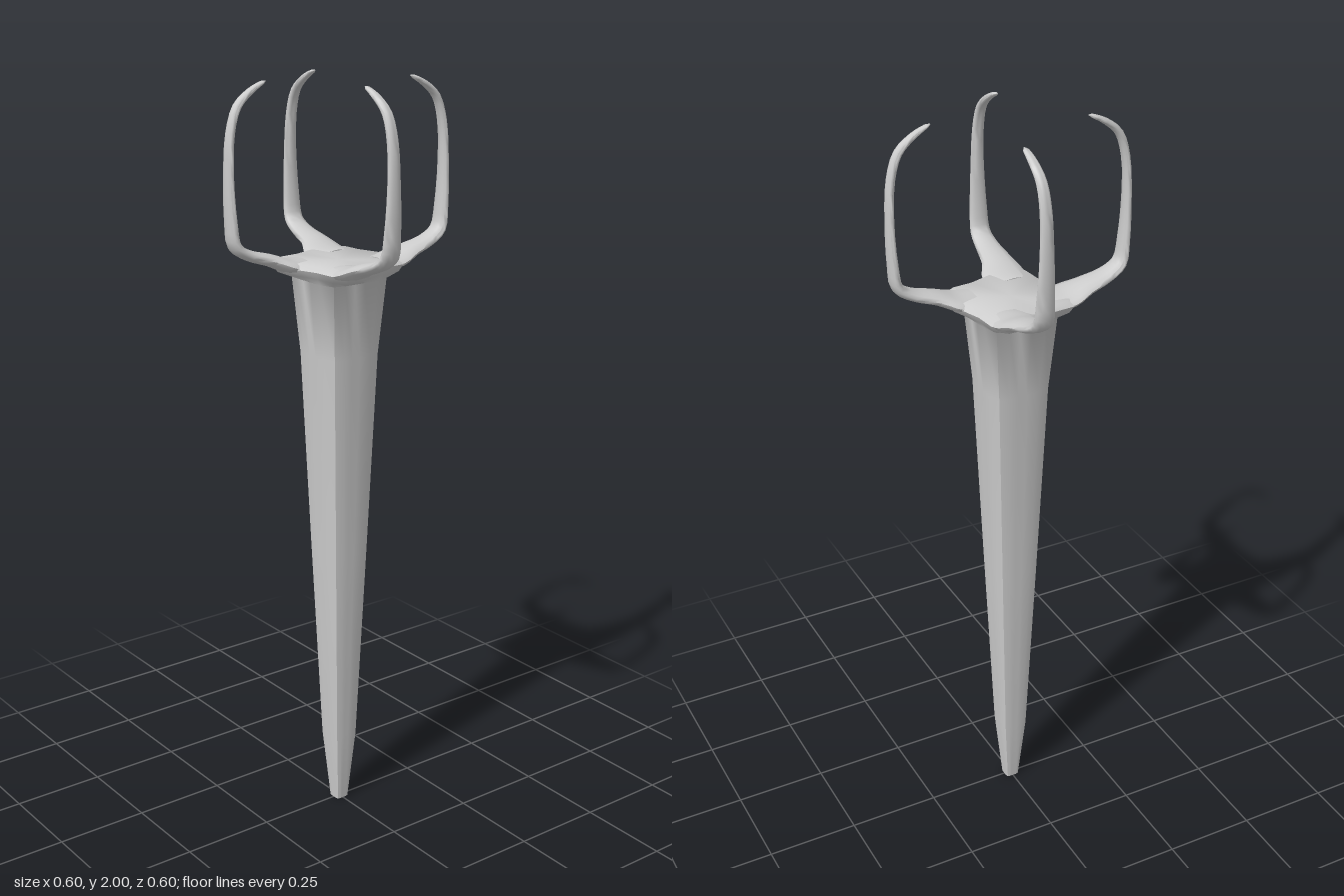
import * as THREE from 'three';
import { toCreasedNormals } from 'three/addons/utils/BufferGeometryUtils.js';

const material = new THREE.MeshStandardMaterial({ color: 0xcccccc });

// Skin a list of closed rings; a ring collapsed to one point acts as a cap
function loft(rings, crease) {
  const n = rings[0].length, pts = rings.flat(), index = [];
  const tri = (a, b, c) => {
    const [p, q, r] = [pts[a], pts[b], pts[c]];
    if (!p.equals(q) && !q.equals(r) && !r.equals(p)) index.push(a, b, c);
  };
  for (let j = 0; j < rings.length - 1; j++) {
    for (let i = 0; i < n; i++) {
      const a = j * n + i, b = j * n + (i + 1) % n;
      tri(a, a + n, b + n);
      tri(a, b + n, b);
    }
  }
  const geometry = new THREE.BufferGeometry().setFromPoints(pts);
  geometry.setIndex(index);
  geometry.computeVertexNormals();
  return toCreasedNormals(geometry, crease);
}

// Outline of the pinwheel hub: one quarter, turned four times
const quarter = [[0.133, -0.012], [0.15, 0.035], [0.15, 0.08], [0.12, 0.112], [0.06, 0.117]];
const outline = [];
for (let q = 0; q < 4; q++) {
  for (const [x, z] of quarter) {
    const p = new THREE.Vector2(x, z);
    for (let k = 0; k < q; k++) p.set(-p.y, p.x);
    outline.push(p);
  }
}

// Rounded-square ring of the shaft, sampled at the hub outline's angles
const shaftRing = (half, y) => outline.map((p) => {
  const a = p.angle(), c = Math.cos(a), s = Math.sin(a);
  const r = half / Math.pow(Math.abs(c) ** 6 + Math.abs(s) ** 6, 1 / 6);
  return new THREE.Vector3(c * r, y, s * r);
});
const hubRing = (scale, y) => outline.map((p) => new THREE.Vector3(p.x * scale, y, p.y * scale));

// Arm and prong stations: reach, height, side offset, half width, half thickness
const stations = [
  [0.08, 1.532, 0.055, 0.055, 0.018],
  [0.13, 1.538, 0.05, 0.06, 0.018],
  [0.18, 1.557, 0.056, 0.043, 0.016],
  [0.24, 1.576, 0.058, 0.033, 0.014],
  [0.278, 1.602, 0.058, 0.028, 0.014],
  [0.288, 1.66, 0.058, 0.025, 0.012],
  [0.292, 1.78, 0.058, 0.019, 0.01],
  [0.285, 1.88, 0.058, 0.016, 0.01],
  [0.264, 1.942, 0.058, 0.014, 0.01],
  [0.225, 1.976, 0.058, 0.012, 0.008],
  [0.19, 1.994, 0.058, 0.008, 0.005],
  [0.179, 1.998, 0.058, 0.001, 0.001],
];

function prongGeometry() {
  const path = new THREE.CatmullRomCurve3(stations.map(([x, y, z]) => new THREE.Vector3(x, y, z)));
  const size = new THREE.CatmullRomCurve3(stations.map((s) => new THREE.Vector3(s[3], s[4], 0)));
  const steps = (stations.length - 1) * 3, sides = 12, rings = [];
  for (let j = 0; j <= steps; j++) {
    const c = path.getPoint(j / steps), t = path.getTangent(j / steps), h = size.getPoint(j / steps);
    const across = new THREE.Vector3(t.y, -t.x, 0).normalize();
    rings.push(Array.from({ length: sides }, (_, i) => {
      const a = (i / sides) * Math.PI * 2;
      const p = c.clone().addScaledVector(across, Math.cos(a) * h.y);
      p.z += Math.sin(a) * h.x;
      return p;
    }));
  }
  // Close both ends
  const point = (p) => Array.from({ length: sides }, () => p.clone());
  rings.unshift(point(path.getPoint(0)));
  rings.push(point(path.getPoint(1)));
  return loft(rings, 1.2);
}

export function createModel() {
  const group = new THREE.Group();

  // Tapered shaft flaring into the hub plate
  const shaft = new THREE.Mesh(loft([
    hubRing(0, 0),
    shaftRing(0.019, 0),
    shaftRing(0.037, 0.2),
    shaftRing(0.059, 0.75),
    shaftRing(0.08, 1.3),
    shaftRing(0.097, 1.5),
    hubRing(0.93, 1.518),
    hubRing(1, 1.536),
    hubRing(0.9, 1.549),
    hubRing(0, 1.545),
  ], 1.0), material);
  shaft.name = 'shaftAndHub';
  group.add(shaft);

  // Four curved prongs, each set off to one side of the centre
  const geometry = prongGeometry();
  for (let i = 0; i < 4; i++) {
    const prong = new THREE.Mesh(geometry, material);
    prong.name = 'prong' + (i + 1);
    prong.rotation.y = (i * Math.PI) / 2;
    group.add(prong);
  }
  return group;
}
